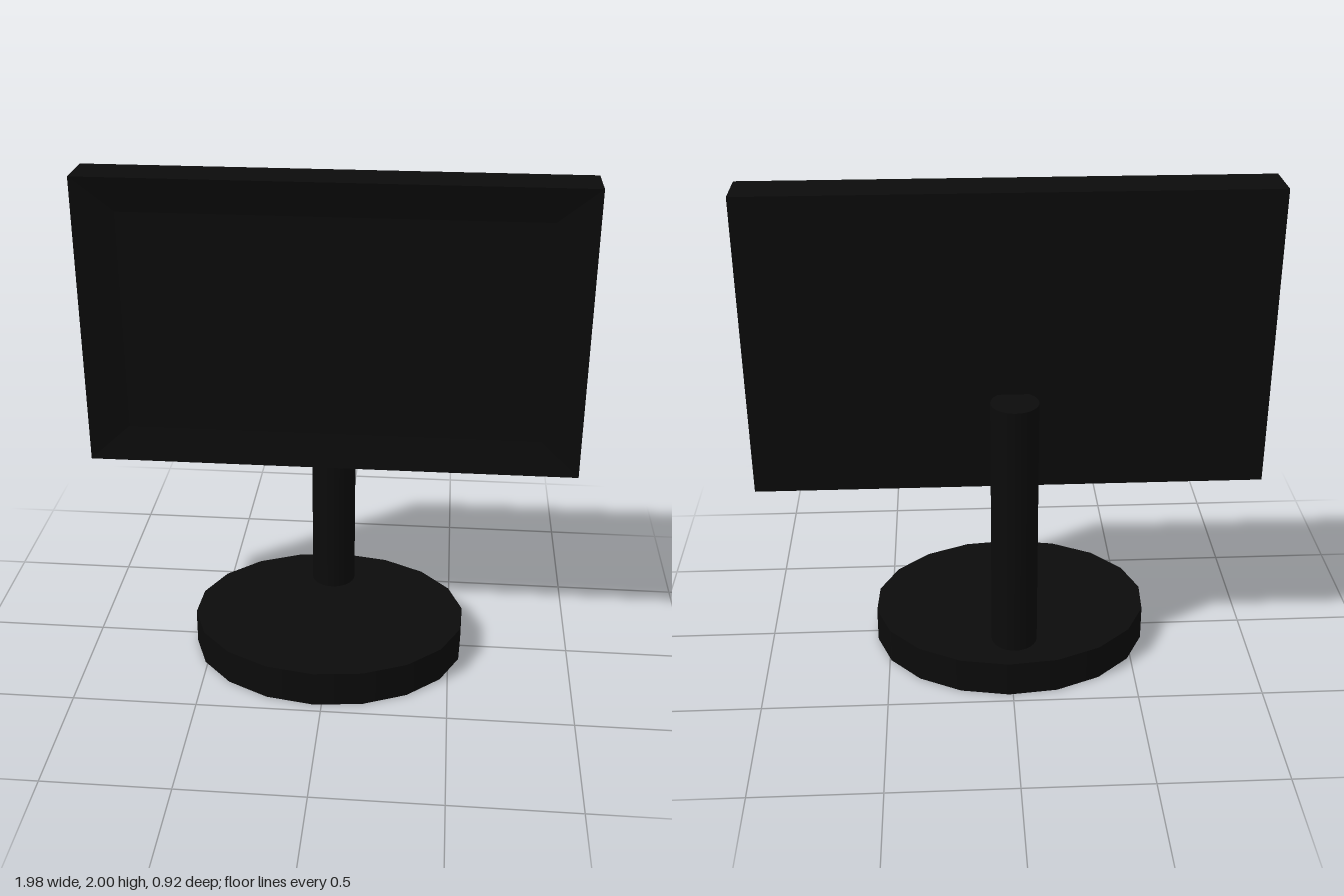
import * as THREE from 'three';

const material = new THREE.MeshStandardMaterial({ color: 0x0b0b0b });

// Corners of an upright rectangle, anticlockwise as seen from the front
function rectangle(halfW, halfH, z) {
  return [[-halfW, -halfH, z], [halfW, -halfH, z], [halfW, halfH, z], [-halfW, halfH, z]];
}

// Box whose front slopes gently inward to a recessed panel
function displayGeometry(width, height, depth, insetX, insetY, recess) {
  const w = width / 2, h = height / 2, d = depth / 2;
  const rings = [
    rectangle(w, h, -d),
    rectangle(w, h, d),
    rectangle(w - insetX, h - insetY, d - recess),
  ];
  const positions = [];
  const quad = (a, b, c, e) => positions.push(...a, ...b, ...c, ...a, ...c, ...e);
  for (let r = 0; r < rings.length - 1; r++) {
    for (let i = 0; i < 4; i++) {
      const j = (i + 1) % 4;
      quad(rings[r][i], rings[r][j], rings[r + 1][j], rings[r + 1][i]);
    }
  }
  quad(...rings[2]);
  quad(...rings[0].slice().reverse());
  const geometry = new THREE.BufferGeometry();
  geometry.setAttribute('position', new THREE.Float32BufferAttribute(positions, 3));
  geometry.computeVertexNormals();
  return geometry;
}

export function createModel() {
  const group = new THREE.Group();
  const add = (name, geometry, x, y, z) => {
    const mesh = new THREE.Mesh(geometry, material);
    mesh.name = name;
    mesh.position.set(x, y, z);
    group.add(mesh);
  };

  // Screen housing with its shallow bevelled recess
  add('screen', displayGeometry(1.98, 1.18, 0.187, 0.16, 0.14, 0.03), 0, 1.41, -0.113);

  // Round post behind the screen
  add('post', new THREE.CylinderGeometry(0.092, 0.092, 1.067, 32), -0.013, 0.6815, -0.277);

  // Oval foot with 18 sides
  const foot = new THREE.CylinderGeometry(1, 1, 0.148, 18, 1, false, THREE.MathUtils.degToRad(-2.5));
  foot.scale(0.566, 1, 0.46);
  add('foot', foot, -0.008, 0.074, 0);

  return group;
}
